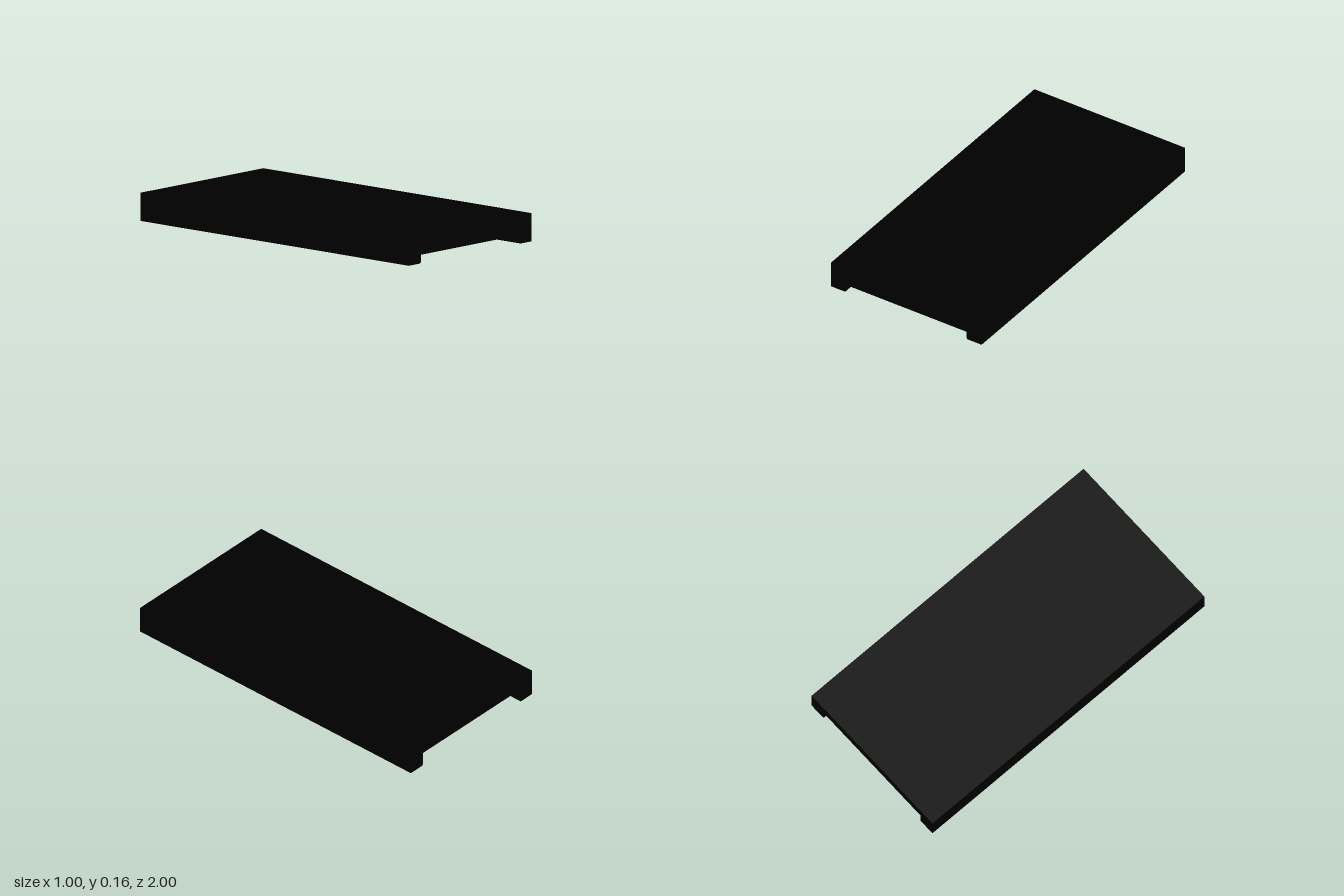
import * as THREE from 'three';

const TOP = 0.158, THIN = 0.083, THICK = 0.048;
const HALF_W = 0.5, RAIL_IN = 0.4, HALF_L = 1, RIBS = 7;

const material = new THREE.MeshStandardMaterial({ color: 0x000000 });

// Deck side profile (z, y): flat top, underside alternating between grooves and ribs
function deckGeometry() {
  const shape = new THREE.Shape();
  const step = (2 * HALF_L) / (2 * RIBS);
  shape.moveTo(-HALF_L, TOP);
  for (let i = 0; i < 2 * RIBS; i++) {
    const y = i % 2 === 0 ? THIN : THICK;
    shape.lineTo(-HALF_L + i * step, y);
    shape.lineTo(-HALF_L + (i + 1) * step, y);
  }
  shape.lineTo(HALF_L, TOP);
  shape.closePath();
  const geometry = new THREE.ExtrudeGeometry(shape, { depth: 2 * RAIL_IN, bevelEnabled: false });
  return geometry.rotateY(-Math.PI / 2).translate(RAIL_IN, 0, 0);
}

// Rail cross-section (x, y) with a rounded inner bottom edge; side is +1 or -1
function railGeometry(side) {
  const r = 0.012;
  const shape = new THREE.Shape();
  shape.moveTo(side * HALF_W, TOP);
  shape.lineTo(side * RAIL_IN, TOP);
  shape.lineTo(side * RAIL_IN, r);
  shape.quadraticCurveTo(side * RAIL_IN, 0, side * (RAIL_IN + r), 0);
  shape.lineTo(side * HALF_W, 0);
  shape.closePath();
  const geometry = new THREE.ExtrudeGeometry(shape, { depth: 2 * HALF_L, bevelEnabled: false, curveSegments: 6 });
  return geometry.translate(0, 0, -HALF_L);
}

export function createModel() {
  const group = new THREE.Group();
  group.name = 'ribbedPlatform';
  const add = (name, geometry) => {
    const mesh = new THREE.Mesh(geometry, material);
    mesh.name = name;
    group.add(mesh);
  };
  add('ribbedDeck', deckGeometry());
  add('leftRail', railGeometry(1));
  add('rightRail', railGeometry(-1));
  return group;
}
